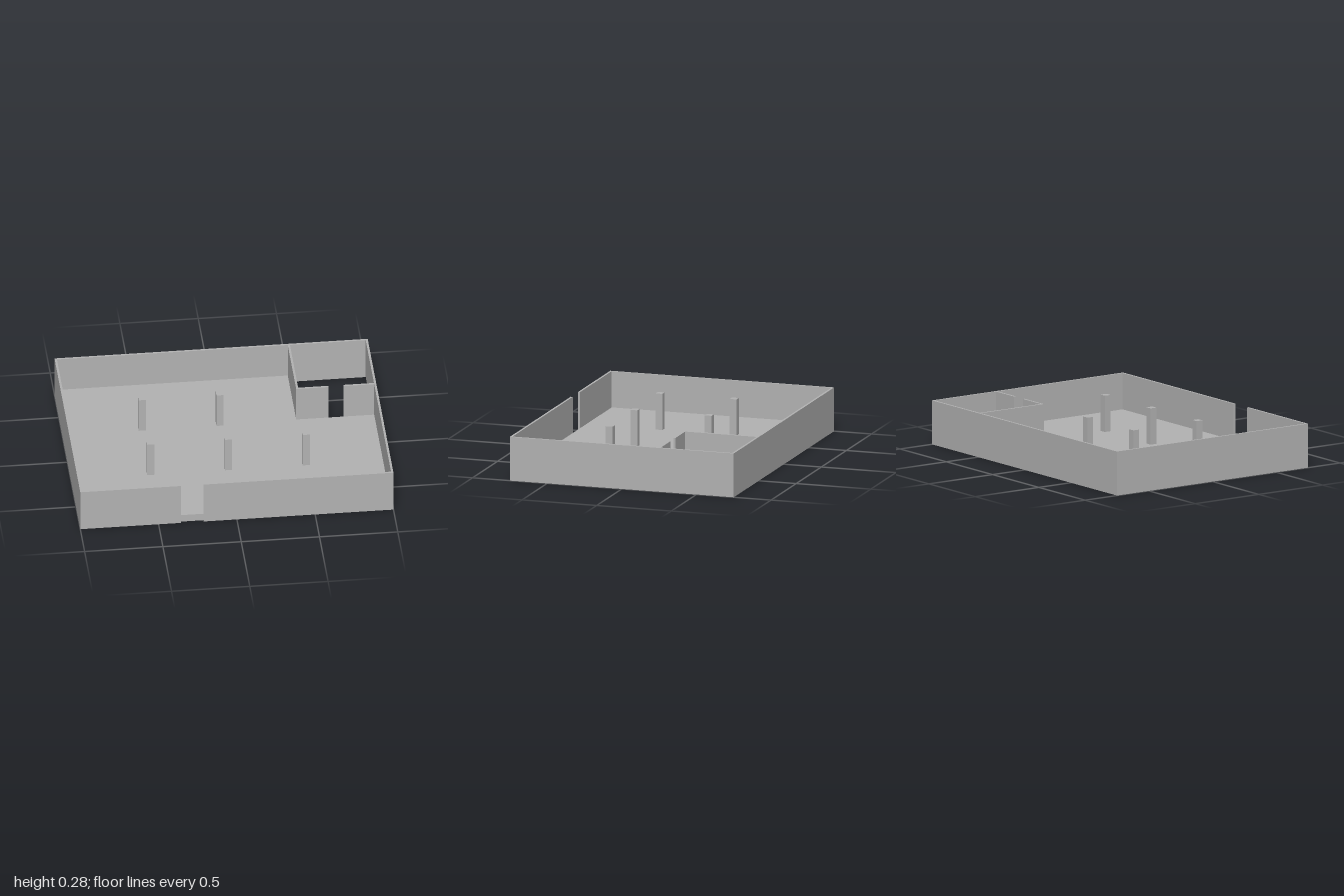
import * as THREE from 'three';

export function createModel() {
  const model = new THREE.Group();
  model.name = 'floorPlan';
  const grey = new THREE.MeshStandardMaterial({ color: 0xb2b2b2 });
  grey.name = 'plaster grey';

  const H = 0.285, T = 0.014, X = 1, Z = 0.75;   // wall height, thickness, half extents
  const floorTop = 0.05;
  const roomX = 0.488, roomZ = -0.243;           // main-hall faces of the corner room walls

  // Box given by its x, y and z ranges
  function block(name, x0, x1, y0, y1, z0, z1) {
    const mesh = new THREE.Mesh(new THREE.BoxGeometry(x1 - x0, y1 - y0, z1 - z0), grey);
    mesh.position.set((x0 + x1) / 2, (y0 + y1) / 2, (z0 + z1) / 2);
    mesh.name = name;
    model.add(mesh);
  }
  const wall = (name, x0, x1, z0, z1) => block(name, x0, x1, 0, H, z0, z1);

  // L-shaped floor slab, open under the corner room
  const xi = X - T, zi = Z - T;
  const outline = new THREE.Shape([
    [-xi, -zi], [roomX, -zi], [roomX, roomZ], [xi, roomZ], [xi, zi], [-xi, zi],
  ].map(([x, z]) => new THREE.Vector2(x, z)));
  const slab = new THREE.ExtrudeGeometry(outline, { depth: floorTop, bevelEnabled: false });
  slab.rotateX(Math.PI / 2).translate(0, floorTop, 0);
  const floor = new THREE.Mesh(slab, grey);
  floor.name = 'floor';
  model.add(floor);

  // Outer walls, with the entrance gap in the front
  wall('rightWall', -X, -xi, -Z, Z);
  wall('leftWall', xi, X, -Z, Z);
  wall('backWall', -xi, xi, -Z, -zi);
  wall('frontWallRight', -xi, -0.357, zi, Z);
  wall('frontWallLeft', -0.213, xi, zi, Z);

  // Corner room walls, with a doorway
  wall('roomSideWall', roomX, roomX + T, -zi, roomZ);
  wall('roomFrontWallRight', roomX + T, 0.695, roomZ - T, roomZ);
  wall('roomFrontWallLeft', 0.79, xi, roomZ - T, roomZ);

  // Square columns on a regular grid
  const c = 0.023;
  for (const [x, z] of [[-0.497, -0.25], [0, -0.25], [-0.497, 0.247], [0, 0.247], [0.495, 0.247]]) {
    block('column', x - c, x + c, floorTop, H, z - c, z + c);
  }
  return model;
}
